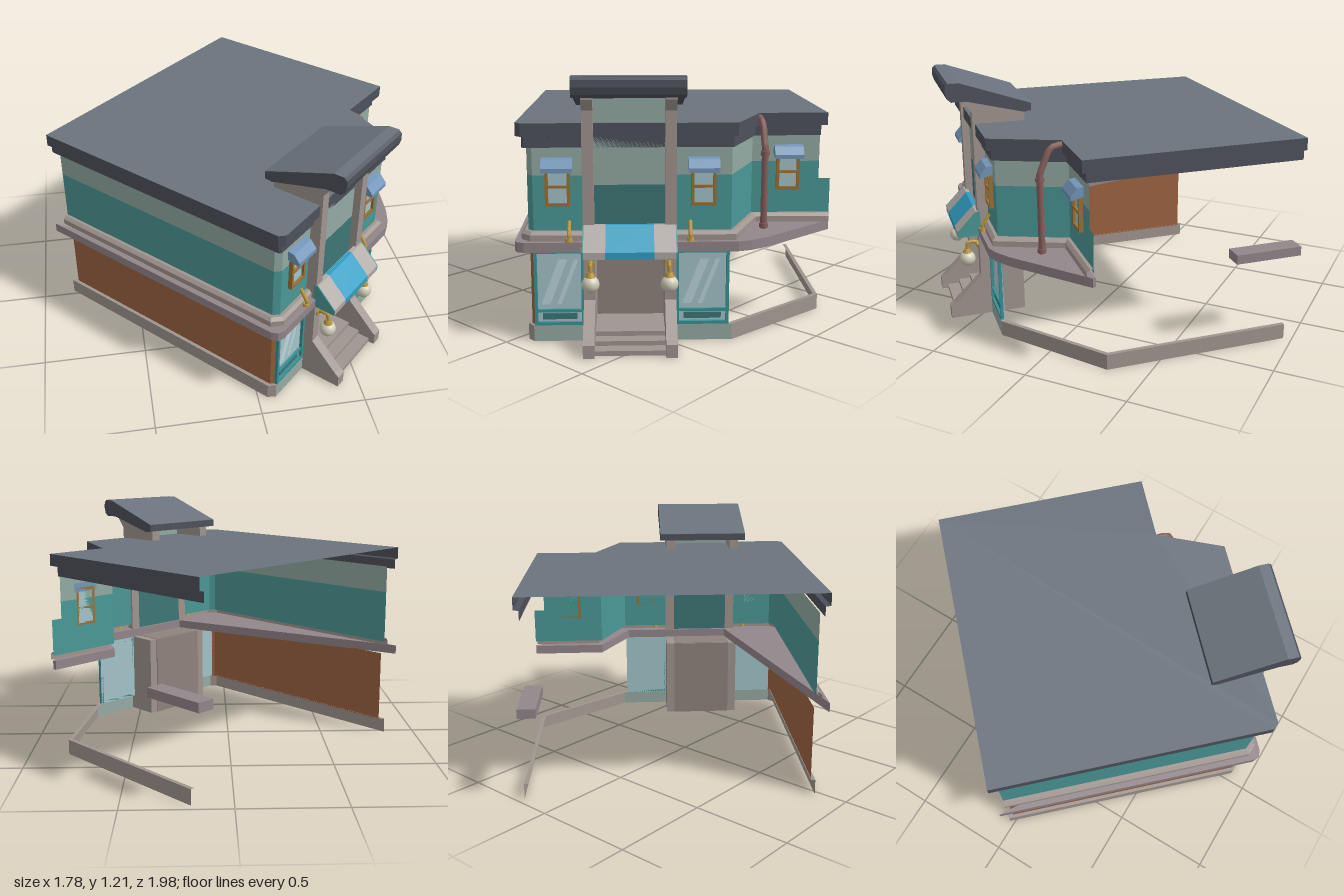
import * as THREE from 'three';

const C = {
  roof: 0x6a737d, fascia: 0x4d515b, stone: 0xa0958f, slab: 0x92868a, pale: 0x93aaa3,
  teal: 0x4a9896, darkTeal: 0x3d7676, brick: 0x9c6242, paleBase: 0x96aaa3, glass: 0xa3c4c9,
  shine: 0xbcd6da, frame: 0x3a9296, gold: 0xb8963e, wood: 0x9a7236, blue: 0x7396ba,
  sky: 0x2f9fc4, cloth: 0xb0aaa6, pipe: 0x86605c, door: 0x8f827c, lamp: 0xd0ccb8,
};
const mats = {};
const mat = (c, flat = true) => (mats[c + '' + flat] ??=
  new THREE.MeshStandardMaterial({ color: c, flatShading: flat, side: THREE.DoubleSide }));

function add(parent, name, geo, color, flat = true) {
  const m = new THREE.Mesh(geo, mat(color, flat));
  m.name = name;
  parent.add(m);
  return m;
}

// box given by its low and high corners
function box(parent, name, a, b, color) {
  const g = new THREE.BoxGeometry(b[0] - a[0], b[1] - a[1], b[2] - a[2]);
  g.translate((a[0] + b[0]) / 2, (a[1] + b[1]) / 2, (a[2] + b[2]) / 2);
  return add(parent, name, g, color);
}

// sweep a profile of [outward offset, y] along an open plan path of [x, z], with mitred corners
function sweep(parent, name, path, profile, color) {
  const normals = path.slice(1).map((p, i) => {
    const dx = p[0] - path[i][0], dz = p[1] - path[i][1], l = Math.hypot(dx, dz);
    return [-dz / l, dx / l];
  });
  const pos = [], idx = [], n = profile.length;
  path.forEach((p, i) => {
    const a = normals[Math.max(i - 1, 0)], b = normals[Math.min(i, normals.length - 1)];
    const k = 1 + a[0] * b[0] + a[1] * b[1];
    const m = [(a[0] + b[0]) / k, (a[1] + b[1]) / k];
    for (const [o, y] of profile) pos.push(p[0] + m[0] * o, y, p[1] + m[1] * o);
    if (i === 0) return;
    for (let j = 0; j < n - 1; j++) {
      const q = (i - 1) * n + j, r = i * n + j;
      idx.push(q, r, r + 1, q, r + 1, q + 1);
    }
  });
  let g = new THREE.BufferGeometry();
  g.setAttribute('position', new THREE.Float32BufferAttribute(pos, 3));
  g.setIndex(idx);
  g = g.toNonIndexed();
  g.computeVertexNormals();
  return add(parent, name, g, color);
}

const shapeOf = pts => new THREE.Shape(pts.map(p => new THREE.Vector2(p[0], p[1])));

// extrude a side profile of [z, y] across x0..x1
function across(parent, name, pts, x0, x1, color) {
  const g = new THREE.ExtrudeGeometry(shapeOf(pts), { depth: x1 - x0, bevelEnabled: false });
  g.rotateY(-Math.PI / 2).translate(x1, 0, 0);
  return add(parent, name, g, color);
}

function tube(parent, name, pts, r, color) {
  const curve = new THREE.CatmullRomCurve3(pts.map(p => new THREE.Vector3(...p)), false, 'catmullrom', 0.2);
  return add(parent, name, new THREE.TubeGeometry(curve, 24, r, 8), color, false);
}

// rectangular frame of four bars facing +z
function frame(parent, name, x0, x1, y0, y1, z, t, color) {
  box(parent, name, [x0, y0, z], [x0 + t, y1, z + 0.02], color);
  box(parent, name, [x1 - t, y0, z], [x1, y1, z + 0.02], color);
  box(parent, name, [x0, y0, z], [x1, y0 + t, z + 0.02], color);
  box(parent, name, [x0, y1 - t, z], [x1, y1, z + 0.02], color);
}

function upperWindow(parent, x, z) {
  const w = new THREE.Group();
  w.name = 'upperWindow';
  w.position.set(x, 0, z);
  parent.add(w);
  box(w, 'windowPane', [-0.045, 0.64, 0], [0.045, 0.81, 0.008], C.glass);
  frame(w, 'windowFrame', -0.055, 0.055, 0.63, 0.82, 0, 0.014, C.wood);
  box(w, 'windowBar', [-0.05, 0.71, 0], [0.05, 0.722, 0.018], C.wood);
  across(w, 'windowHood', [[0, 0.845], [0.03, 0.84], [0.06, 0.805], [0.06, 0.785], [0, 0.8]], -0.068, 0.068, C.blue);
}

function shopWindow(parent, x0, x1) {
  const z = 0.7;
  box(parent, 'shopGlass', [x0, 0.075, z - 0.005], [x1, 0.43, z], C.glass);
  frame(parent, 'shopFrame', x0, x1, 0.075, 0.425, z - 0.005, 0.014, C.frame);
  box(parent, 'shopPanel', [x0, 0.135, z], [x1, 0.148, z + 0.012], C.frame);
  box(parent, 'shopPanel', [x0 + 0.035, 0.1, z], [x1 - 0.035, 0.128, z + 0.006], C.darkTeal);
  // diagonal reflections
  for (const [s, w] of [[0.03, 0.04], [0.1, 0.02]]) {
    const g = new THREE.ShapeGeometry(shapeOf([[s, 0.17], [s + w, 0.17], [s + w + 0.08, 0.38], [s + 0.08, 0.38]]));
    add(parent, 'glassShine', g.translate(x0, 0, z + 0.002), C.shine);
  }
}

export function createModel() {
  const model = new THREE.Group();
  model.name = 'cornerBuilding';
  const b = new THREE.Group();
  b.name = 'building';
  b.rotation.y = 0.763;
  model.add(b);

  // roof sheet and two-tier fascia, open along the back
  const roofPath = [[-0.622, -0.625], [-0.622, 0.725], [-0.597, 0.75], [0.342, 0.75], [0.477, 0.432], [0.797, 0.432], [0.797, -0.625]];
  add(b, 'roof', new THREE.ShapeGeometry(shapeOf(roofPath)).rotateX(Math.PI / 2).translate(0, 1, 0), C.roof);
  sweep(b, 'roofFascia', roofPath, [[-0.025, 0.89], [-0.025, 0.938], [0, 0.942], [0, 1]], C.fascia);

  // upper storey walls
  const upper = [[-0.58, -0.59], [-0.58, 0.685], [-0.555, 0.71], [0.32, 0.71], [0.45, 0.395], [0.77, 0.395]];
  sweep(b, 'upperWallLower', upper, [[0, 0.5], [0, 0.765]], C.teal);
  sweep(b, 'upperWallUpper', upper, [[0, 0.765], [0, 0.9]], C.pale);
  sweep(b, 'wallStub', [[0.77, 0.395], [0.825, 0.395]], [[0, 0.5], [0, 0.68]], C.teal);
  sweep(b, 'ledgeTrim', [...upper.slice(0, -1), [0.82, 0.395]], [[0.03, 0.475], [0.03, 0.502], [0.015, 0.516], [0, 0.516]], C.stone);

  // slab between storeys with the balcony wedge
  const slab = [[-0.638, -0.625], [-0.638, 0.72], [-0.625, 0.75], [-0.595, 0.762], [0.35, 0.762], [0.41, 0.742],
    [0.49, 0.69], [0.825, 0.4], [0.82, 0.385], [0.45, 0.39], [0.3, 0.69], [-0.28, 0.69]];
  const slabGeo = new THREE.ExtrudeGeometry(shapeOf(slab), { depth: 0.045, bevelEnabled: false });
  add(b, 'floorSlab', slabGeo.rotateX(Math.PI / 2).translate(0, 0.475, 0), C.slab);
  box(b, 'rearSlabPiece', [0.72, 0.43, -0.625], [0.807, 0.475, -0.295], C.slab);

  // ground floor wall and base course
  sweep(b, 'brickWall', [[-0.575, -0.575], [-0.575, 0.685], [-0.56, 0.7]], [[0, 0.07], [0, 0.435]], C.brick);
  const base = [[0, 0], [0, 0.075], [-0.02, 0.075]];
  sweep(b, 'baseSide', [[-0.592, -0.6], [-0.592, 0.685], [-0.565, 0.715]], base, C.stone);
  sweep(b, 'baseFront', [[-0.565, 0.715], [-0.33, 0.715]], base, C.paleBase);
  sweep(b, 'baseFront', [[0.07, 0.715], [0.33, 0.715]], base, C.paleBase);
  sweep(b, 'baseOpenSide', [[0.33, 0.715], [0.8, 0.33], [0.8, -0.565]], base, C.stone);
  shopWindow(b, -0.56, -0.335);
  shopWindow(b, 0.075, 0.315);

  upperWindow(b, -0.445, 0.71);
  upperWindow(b, 0.195, 0.71);
  upperWindow(b, 0.62, 0.395);

  // entrance tower, mirrored about its own centre
  const tower = new THREE.Group();
  tower.name = 'entranceTower';
  tower.position.x = -0.13;
  b.add(tower);
  const pillar = [[0.545, 0], [0.545, 0.43], [0.7, 0.43], [0.7, 0.96], [0.51, 0.96], [0.51, 1.07], [0.8, 1.15],
    [0.8, 1.105], [0.762, 1.055], [0.762, 0.21], [0.9, 0.075], [0.92, 0.06], [0.92, 0]];
  for (const s of [-1, 1]) {
    across(tower, 'pillar', pillar, s * 0.18 - 0.025, s * 0.18 + 0.025, C.stone);
    // globe lamp on a hooked bracket
    const x = s * 0.172;
    add(tower, 'lampGlobe', new THREE.SphereGeometry(0.039, 20, 14).translate(x, 0.303, 0.82), C.lamp, false);
    add(tower, 'lampCap', new THREE.CylinderGeometry(0.014, 0.022, 0.02, 12).translate(x, 0.345, 0.82), C.gold, false);
    tube(tower, 'lampBracket', [[x, 0.375, 0.76], [x, 0.39, 0.785], [x, 0.385, 0.815], [x, 0.35, 0.82]], 0.009, C.gold);
    add(tower, 'bracketPlate', new THREE.CylinderGeometry(0.018, 0.018, 0.01, 12).rotateX(Math.PI / 2).translate(x, 0.375, 0.766), C.gold, false);
    // small bent post on the ledge
    const px = s * 0.267;
    tube(tower, 'ledgePost', [[px, 0.475, 0.75], [px, 0.505, 0.752], [px, 0.56, 0.715]], 0.009, C.gold);
    add(tower, 'postFoot', new THREE.CylinderGeometry(0.015, 0.018, 0.015, 10).translate(px, 0.485, 0.75), C.gold, false);
  }
  box(tower, 'towerFaceLower', [-0.16, 0.43, 0.705], [0.16, 0.725, 0.725], C.darkTeal);
  box(tower, 'towerFaceUpper', [-0.16, 0.725, 0.705], [0.16, 1.13, 0.725], C.pale);

  // sloping tower cap, thicker at the front
  across(tower, 'towerCap', [[0.484, 1.09], [0.484, 1.055], [0.52, 1.05], [0.79, 1.12], [0.86, 1.12], [0.878, 1.135],
    [0.886, 1.165], [0.884, 1.195], [0.87, 1.208], [0.82, 1.208]], -0.24, 0.24, C.fascia);
  const capTop = new THREE.PlaneGeometry(0.48, Math.hypot(0.336, 0.118)).rotateX(-Math.PI / 2 + Math.atan2(0.118, 0.336) * -1);
  add(tower, 'capTop', capTop.translate(0, 1.151, 0.652), C.roof);
  box(tower, 'capTopFront', [-0.24, 1.2, 0.82], [0.24, 1.21, 0.872], C.roof);

  // recessed doorway and steps
  box(tower, 'doorwayBack', [-0.16, 0, 0.54], [0.16, 0.43, 0.55], C.door);
  box(tower, 'doorwayCeiling', [-0.16, 0.422, 0.545], [0.16, 0.432, 0.76], C.door);
  [[0.77, 0.065], [0.83, 0.043], [0.89, 0.022]].forEach(([z, y], i) =>
    box(tower, 'step', [-0.157, 0, i ? 0.7 : 0.548], [0.157, y, z], C.stone));

  // striped awning
  const awning = [[0.75, 0.555], [0.77, 0.555], [0.865, 0.458], [0.865, 0.428], [0.75, 0.432]];
  across(tower, 'awningSide', awning, -0.2, -0.105, C.cloth);
  across(tower, 'awningStripe', awning, -0.105, 0.105, C.sky);
  across(tower, 'awningSide', awning, 0.105, 0.2, C.cloth);
  for (const s of [-1, 1]) across(tower, 'awningCheek', awning, s * 0.2025 - 0.003, s * 0.2025 + 0.003, C.teal);

  // drainpipe in the roof notch
  tube(b, 'drainpipe', [[0.49, 0.475, 0.54], [0.49, 0.7, 0.54], [0.49, 0.85, 0.54], [0.487, 0.89, 0.525],
    [0.485, 0.94, 0.505], [0.48, 0.97, 0.485], [0.472, 0.98, 0.43]], 0.016, C.pipe);
  for (const y of [0.49, 0.83])
    add(b, 'pipeCollar', new THREE.CylinderGeometry(0.021, 0.021, 0.02, 12).translate(0.49, y, 0.54), C.pipe, false);

  return model;
}
